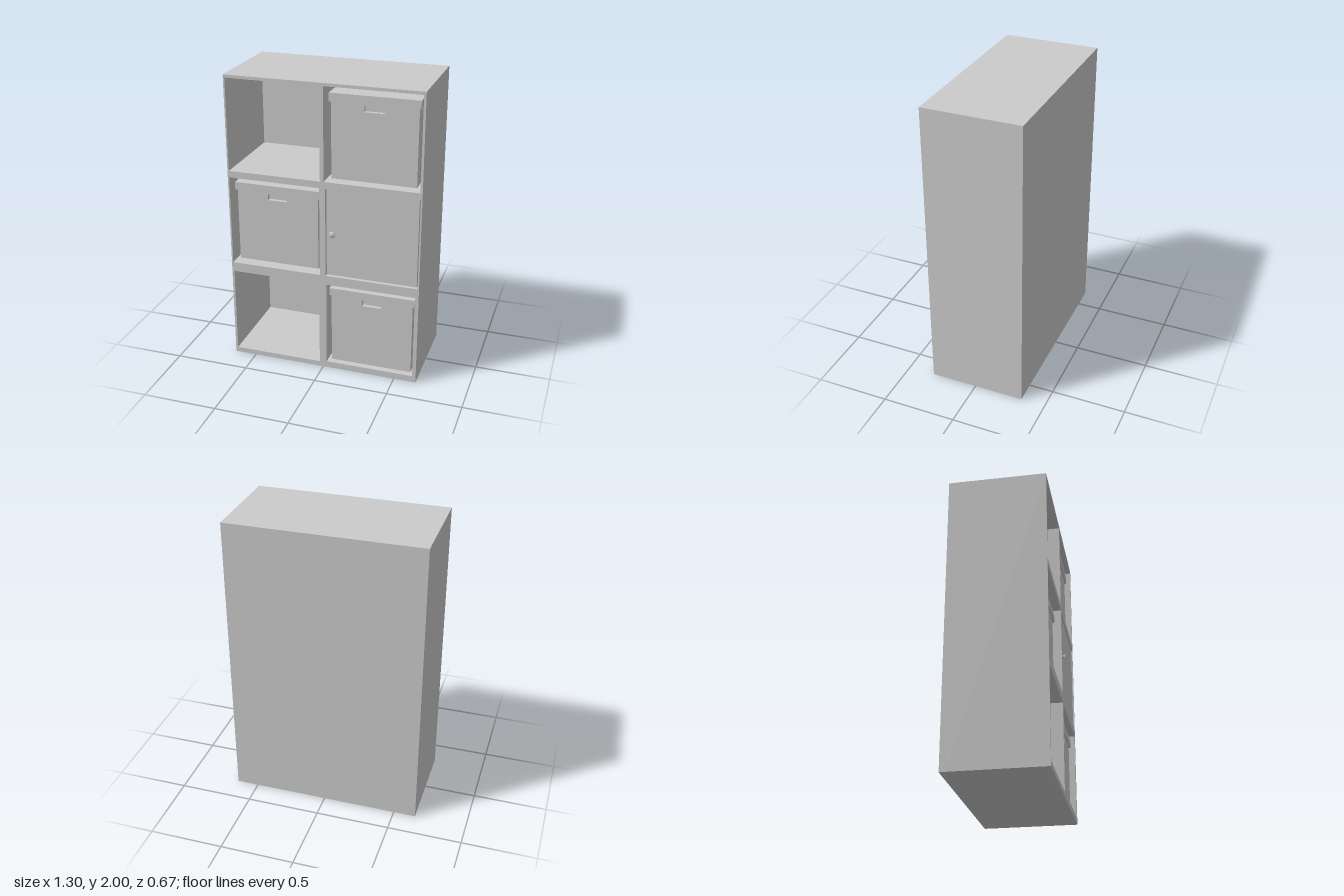
import * as THREE from 'three';

const material = new THREE.MeshStandardMaterial({ color: 0xcccccc });
const FRONT = 0.315, BACK = -0.335, INNER = -0.295;

function add(parent, name, geometry) {
  const mesh = new THREE.Mesh(geometry, material);
  mesh.name = name;
  parent.add(mesh);
  return mesh;
}

// Box given by its lower and upper limits on each axis
function block(parent, name, x0, x1, y0, y1, z0, z1) {
  const mesh = add(parent, name, new THREE.BoxGeometry(x1 - x0, y1 - y0, z1 - z0));
  mesh.position.set((x0 + x1) / 2, (y0 + y1) / 2, (z0 + z1) / 2);
}

function rectangle(x0, x1, y0, y1, Type = THREE.Shape) {
  const r = new Type();
  r.moveTo(x0, y0).lineTo(x1, y0).lineTo(x1, y1).lineTo(x0, y1).closePath();
  return r;
}

// Panel from z0 to z1 with rectangular holes [x0, x1, y0, y1]
function piercedPanel(parent, name, outline, holes, z0, z1) {
  const shape = rectangle(...outline);
  for (const h of holes) shape.holes.push(rectangle(...h, THREE.Path));
  const geometry = new THREE.ExtrudeGeometry(shape, { depth: z1 - z0, bevelEnabled: false });
  add(parent, name, geometry).position.z = z0;
}

// Storage box: body, front panel with a grip slot, overhanging lid
function storageBox(name, x0, x1, y0, lidBottom, lidTop, front) {
  const box = new THREE.Group();
  box.name = name;
  const mid = (x0 + x1) / 2, face = front - 0.012, slotTop = lidBottom - 0.012;
  const back = INNER + 0.03;
  block(box, 'boxBody', x0, x1, y0, lidBottom, back, face - 0.025);
  piercedPanel(box, 'boxFront', [x0, x1, y0, lidBottom],
    [[mid - 0.065, mid + 0.065, slotTop - 0.04, slotTop]], face - 0.025, face);
  block(box, 'boxLid', x0 - 0.012, x1 + 0.012, lidBottom, lidTop, back - 0.012, front);
  return box;
}

export function createModel() {
  const group = new THREE.Group();
  group.name = 'cubeShelf';

  // Carcass with six compartments
  const openings = [
    [-0.64, -0.015, 1.36, 1.98], [0.01, 0.635, 1.36, 1.98],
    [-0.64, -0.02, 0.70, 1.315], [0.02, 0.64, 0.70, 1.315],
    [-0.635, -0.025, 0.035, 0.635], [0.025, 0.625, 0.045, 0.635],
  ];
  piercedPanel(group, 'shelfFrame', [-0.65, 0.65, 0, 2], openings, INNER, FRONT);
  block(group, 'backPanel', -0.65, 0.65, 0, 2, BACK, INNER);

  // Storage boxes
  group.add(
    storageBox('upperBox', 0.048, 0.604, 1.375, 1.88, 1.935, 0.285),
    storageBox('middleBox', -0.608, -0.048, 0.715, 1.217, 1.27, 0.272),
    storageBox('lowerBox', 0.048, 0.604, 0.046, 0.545, 0.597, 0.285),
  );

  // Door with a small mushroom knob
  const door = new THREE.Group();
  door.name = 'door';
  block(door, 'doorPanel', 0.026, 0.632, 0.709, 1.312, 0.275, 0.307);
  const profile = [[0.008, 0], [0.008, 0.016], [0.021, 0.019], [0.022, 0.022], [0.014, 0.026], [0, 0.028]]
    .map(([r, h]) => new THREE.Vector2(r, h));
  const knob = add(door, 'doorKnob', new THREE.LatheGeometry(profile, 24));
  knob.rotation.x = Math.PI / 2;
  knob.position.set(0.07, 1.008, 0.307);
  group.add(door);

  return group;
}
